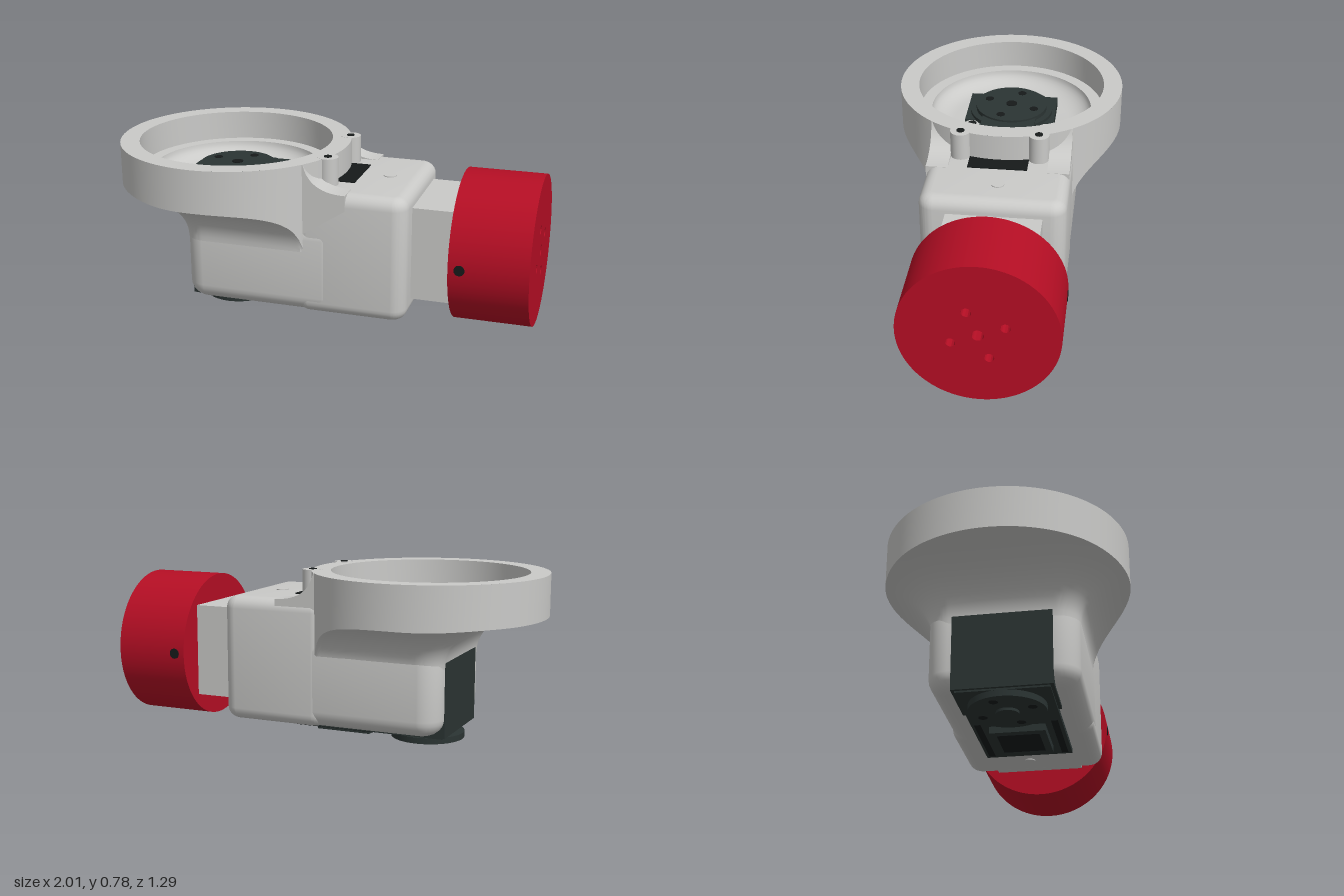
import * as THREE from 'three';
import { toCreasedNormals } from 'three/addons/utils/BufferGeometryUtils.js';

const paint = (name, color) => {
  const m = new THREE.MeshStandardMaterial({ color });
  m.name = name;
  return m;
};

export function createModel() {
  const shellGrey = paint('light grey shell', 0xcacac8);
  const red = paint('red', 0xb50e24);
  const dark = paint('dark servo plastic', 0x2b3433);
  const black = paint('black recess', 0x161a1a);

  const model = new THREE.Group();
  model.name = 'servoJoint';
  // Local frame: origin on the cup axis, x runs along the arm
  const arm = new THREE.Group();
  arm.name = 'arm';
  arm.position.set(-0.4675, 0, -0.1125);
  arm.rotation.y = -THREE.MathUtils.degToRad(18);
  model.add(arm);

  const add = (name, geo, mat, x = 0, y = 0, z = 0) => {
    const mesh = new THREE.Mesh(geo, mat);
    mesh.name = name;
    mesh.position.set(x, y, z);
    arm.add(mesh);
    return mesh;
  };
  const box = (name, mat, x0, x1, y0, y1, halfZ, z = 0) =>
    add(name, new THREE.BoxGeometry(x1 - x0, y1 - y0, halfZ * 2), mat, (x0 + x1) / 2, (y0 + y1) / 2, z);
  const disc = (name, mat, r, y0, y1, x = 0, z = 0) =>
    add(name, new THREE.CylinderGeometry(r, r, y1 - y0, 48), mat, x, (y0 + y1) / 2, z);

  // Block with rounded corners in plan and rounded top and bottom edges
  const roundedBlock = (x0, x1, halfZ, y0, y1, corner, edge) => {
    const a = x0 + edge, b = x1 - edge, h = halfZ - edge, r = corner - edge;
    const s = new THREE.Shape();
    s.moveTo(a + r, -h).lineTo(b - r, -h);
    s.absarc(b - r, -h + r, r, -Math.PI / 2, 0);
    s.absarc(b - r, h - r, r, 0, Math.PI / 2);
    s.absarc(a + r, h - r, r, Math.PI / 2, Math.PI);
    s.absarc(a + r, -h + r, r, Math.PI, Math.PI * 1.5);
    const g = new THREE.ExtrudeGeometry(s, {
      depth: y1 - y0 - 2 * edge, bevelEnabled: true, bevelSize: edge,
      bevelThickness: edge, bevelSegments: 6, curveSegments: 8,
    });
    g.rotateX(-Math.PI / 2).translate(0, y0 + edge, 0);
    return toCreasedNormals(g, 0.6);
  };
  add('rearHousing', roundedBlock(-0.15, 0.6, 0.325, 0.075, 0.5, 0.1, 0.075), shellGrey, 0, 0, -0.004);
  add('frontHousing', roundedBlock(0.38, 0.89, 0.325, 0.075, 0.65, 0.07, 0.055), shellGrey, 0, 0, -0.006);

  // Outside of the cup: a concave flare growing out of the housing, then a straight wall
  const R = 0.535, columns = 120, steps = 12, rows = steps + 2;
  const pos = [], index = [];
  for (let i = 0; i <= columns; i++) {
    const a = (i / columns) * Math.PI * 2;
    const x = R * Math.cos(a), z = R * Math.sin(a);
    const cx = THREE.MathUtils.clamp(x, -0.05, 0.9), cz = THREE.MathUtils.clamp(z, -0.225, 0.225);
    const dist = Math.hypot(x - cx, z - cz);
    const d = Math.max(dist - 0.1, 0);
    for (let j = 0; j <= steps; j++) {
      const e = d * (j / steps) ** 2;
      const k = d > 0 ? (0.1 + e) / dist : 1;
      const t = Math.min(e / 0.28, 1);
      pos.push(cx + (x - cx) * k, 0.37 + 0.215 * Math.sqrt(1 - (1 - t) ** 2), cz + (z - cz) * k);
    }
    pos.push(x, 0.775, z);
    if (i < columns) {
      for (let j = 0; j < rows - 1; j++) {
        const p = i * rows + j, q = p + rows;
        index.push(p, p + 1, q, q, p + 1, q + 1);
      }
    }
  }
  const flare = new THREE.BufferGeometry();
  flare.setAttribute('position', new THREE.Float32BufferAttribute(pos, 3));
  flare.setIndex(index);
  add('cupOutside', toCreasedNormals(flare, 0.5), shellGrey);

  // Rim and inside of the cup
  const profile = [[R, 0.775], [0.447, 0.775], [0.447, 0.64], [0.39, 0.64]];
  for (let i = 1; i <= 8; i++) {
    const a = (i / 8) * Math.PI / 2;
    profile.push([0.39 - 0.11 * (1 - Math.cos(a)), 0.64 - 0.07 * Math.sin(a)]);
  }
  profile.push([0, 0.57]);
  const bowl = new THREE.LatheGeometry(profile.map(([r, y]) => new THREE.Vector2(r, y)), 96);
  add('cupInside', toCreasedNormals(bowl, 0.6), shellGrey);

  // Curved webs blending the arm top into the cup, screw bosses and servo screws
  const web = new THREE.Shape();
  web.moveTo(0.42, 0.45).lineTo(0.62, 0.58).lineTo(0.62, 0.651);
  web.quadraticCurveTo(0.46, 0.65, 0.43, 0.775).lineTo(0.42, 0.775).closePath();
  const webGeo = toCreasedNormals(
    new THREE.ExtrudeGeometry(web, { depth: 0.1, bevelEnabled: false, curveSegments: 14 }), 0.6);
  for (const s of [-1, 1]) {
    add('cupWeb', webGeo, shellGrey, 0, 0, s > 0 ? 0.222 : -0.325);
    disc('screwBoss', shellGrey, 0.047, 0.6, 0.776, 0.5, s * 0.178);
    disc('bossHole', black, 0.018, 0.774, 0.779, 0.5, s * 0.178);
    disc('servoScrewTab', shellGrey, 0.034, 0.55, 0.615, 0.145, s * 0.176);
    disc('servoScrew', black, 0.02, 0.61, 0.619, 0.145, s * 0.176);
  }
  disc('armTopPlug', shellGrey, 0.03, 0.645, 0.654, 0.734, -0.018);
  disc('armBottomPlug', shellGrey, 0.025, 0.071, 0.08, 0.734, -0.018);

  // Servo body, tail and the slot where it shows through the arm top
  box('servoBody', dark, -0.153, 0.115, 0.06, 0.62, 0.215);
  box('servoShoulder', dark, 0.11, 0.18, 0.1, 0.62, 0.14);
  box('servoTail', dark, 0.11, 0.52, 0.1, 0.646, 0.128);
  box('tailSlot', black, 0.5, 0.61, 0.6, 0.655, 0.135);

  // Top horn
  disc('hornBase', dark, 0.2, 0.6, 0.635);
  disc('topHorn', dark, 0.172, 0.635, 0.655);
  disc('topHornScrew', black, 0.026, 0.65, 0.659);
  // Underside of the servo with its idler horn
  box('servoBottomPlate', dark, -0.14, 0.61, 0.052, 0.08, 0.2);
  box('servoBottomPanel', dark, 0.24, 0.5, 0.02, 0.055, 0.125);
  box('panelRecess', black, 0.27, 0.47, 0.017, 0.024, 0.095);
  for (const s of [-1, 1]) box('bottomRib', black, 0.2, 0.58, 0.046, 0.056, 0.015, s * 0.17);
  disc('idlerBase', dark, 0.11, 0.03, 0.06);
  disc('idlerHorn', dark, 0.168, 0.012, 0.04);
  disc('idlerHub', dark, 0.05, 0, 0.015);
  for (let i = 0; i < 4; i++) {
    const a = 0.35 + i * Math.PI / 2, x = 0.12 * Math.cos(a), z = 0.12 * Math.sin(a);
    disc('topHornHole', black, 0.02, 0.65, 0.657, x, z);
    disc('idlerHornHole', black, 0.02, 0.01, 0.016, x, z);
  }

  // Square neck and red end drum with five holes through it
  const drumZ = -0.018, drumY = 0.367;
  box('neck', shellGrey, 0.86, 1.083, 0.152, 0.582, 0.212, drumZ);
  const face = new THREE.Shape().absarc(0, 0, 0.342, 0, Math.PI * 2);
  const hole = (x, y, r) => face.holes.push(new THREE.Path().absarc(x, y, r, 0, Math.PI * 2, true));
  hole(0, 0, 0.026);
  for (let i = 0; i < 4; i++) {
    const a = THREE.MathUtils.degToRad(68 + 90 * i);
    hole(-0.122 * Math.cos(a), 0.122 * Math.sin(a), 0.021);
  }
  const drum = new THREE.ExtrudeGeometry(face, { depth: 0.35, bevelEnabled: false, curveSegments: 48 });
  drum.rotateY(Math.PI / 2);
  add('endDrum', toCreasedNormals(drum, 0.6), red, 1.08, drumY, drumZ);
  // Set screws on both sides of the drum
  for (const s of [-1, 1]) {
    const screw = new THREE.CylinderGeometry(0.024, 0.024, 0.008, 24).rotateX(Math.PI / 2);
    add('drumSetScrew', screw, black, 1.13, drumY, drumZ + s * 0.34);
  }
  return model;
}
